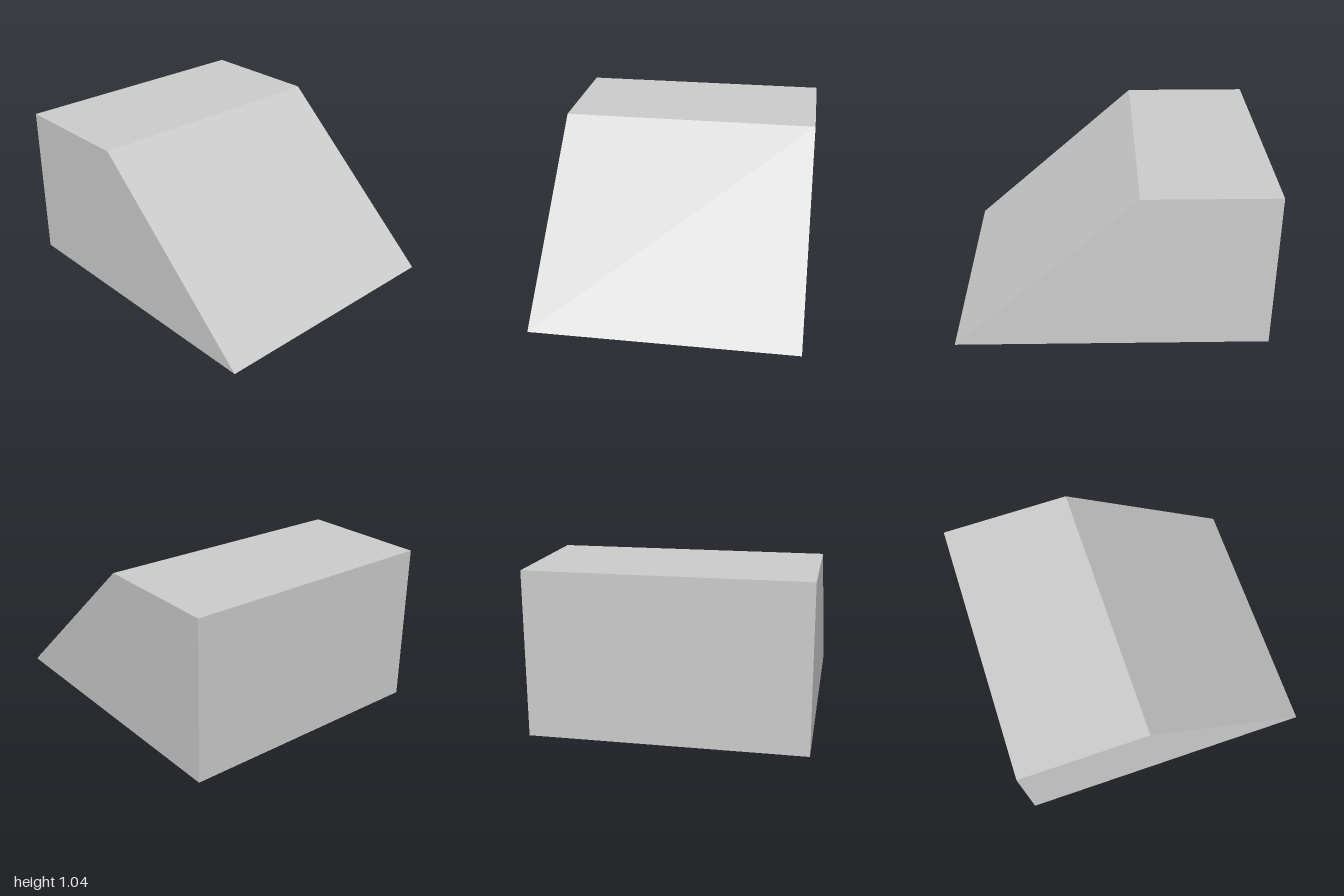
import * as THREE from 'three';

const WIDTH = 1.72, HEIGHT = 1.04, FRONT = 1, CREST = -0.16, BACK = -1, STEPS = 18;

// Extrude a side profile of [z, y] points across the width
function extrudeProfile(name, points, width, material) {
  const shape = new THREE.Shape(points.map(([z, y]) => new THREE.Vector2(-z, y)));
  const geometry = new THREE.ExtrudeGeometry(shape, { depth: width, bevelEnabled: false });
  geometry.translate(0, 0, -width / 2);
  geometry.rotateY(Math.PI / 2);
  const mesh = new THREE.Mesh(geometry, material);
  mesh.name = name;
  return mesh;
}

export function createModel() {
  const group = new THREE.Group();
  group.name = 'rampBlock';
  const material = new THREE.MeshStandardMaterial({ color: 0xcccccc, flatShading: true });

  // Raised block at the back
  const platform = new THREE.Mesh(new THREE.BoxGeometry(WIDTH, HEIGHT, CREST - BACK), material);
  platform.position.set(0, HEIGHT / 2, (CREST + BACK) / 2);
  platform.name = 'platform';
  group.add(platform);

  // Wedge sloping down to the front
  group.add(extrudeProfile('ramp', [[FRONT, 0], [CREST, 0], [CREST, HEIGHT]], WIDTH, material));

  // Staircase filling the wedge, its step edges touching the slope
  const rise = HEIGHT / STEPS, run = (FRONT - CREST) / STEPS;
  const profile = [[CREST, 0], [FRONT - run, 0]];
  for (let i = 1; i < STEPS; i++) {
    profile.push([FRONT - i * run, i * rise], [FRONT - (i + 1) * run, i * rise]);
  }
  group.add(extrudeProfile('stairs', profile.reverse(), WIDTH - 0.002, material));

  return group;
}
